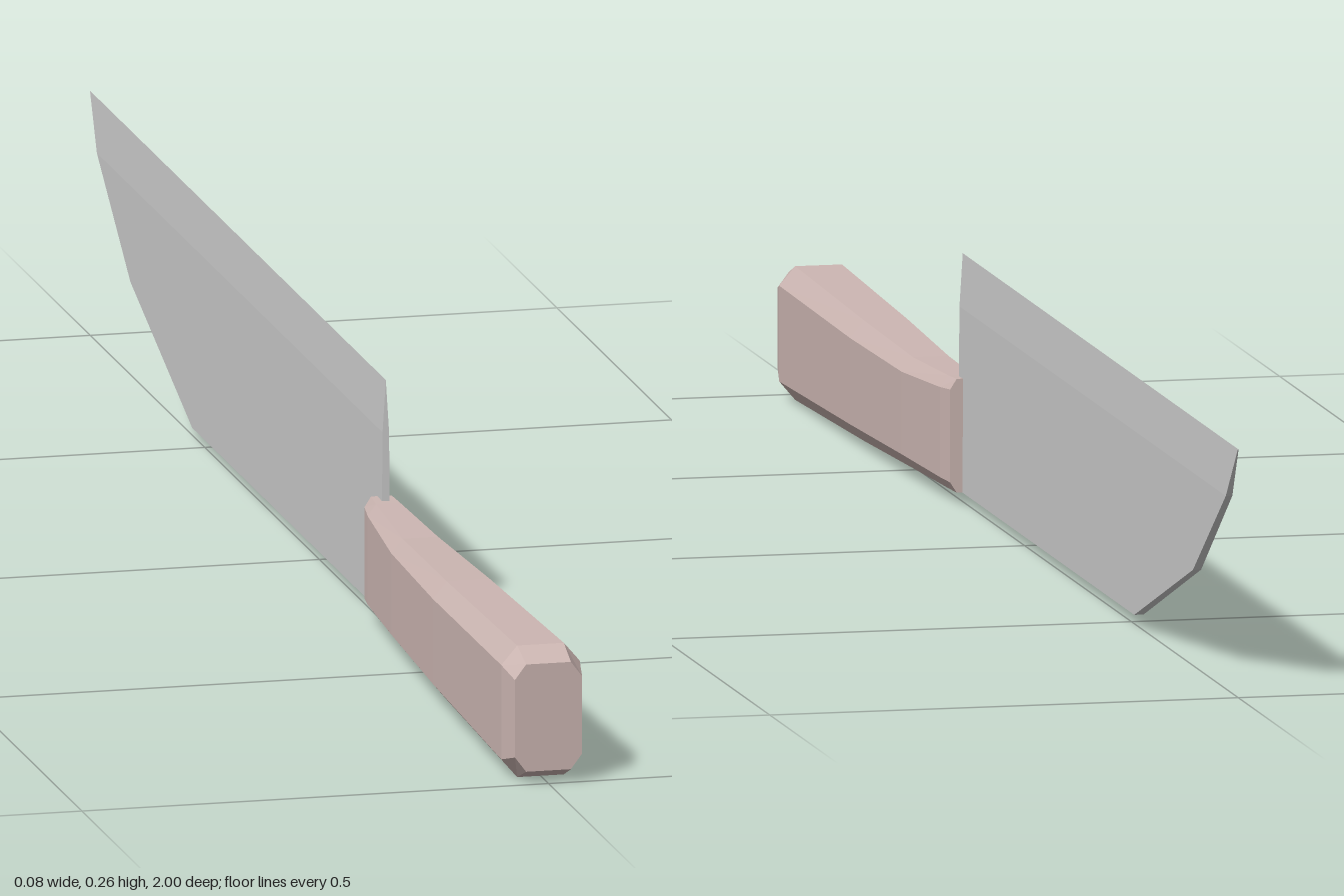
import * as THREE from 'three';

// Joins equal-length rings (front to back, each counter-clockwise seen from +z) into a closed faceted solid
function loft(rings) {
  const pos = [];
  const tri = (a, b, c) => pos.push(...a, ...b, ...c);
  const n = rings[0].length;
  for (let r = 0; r < rings.length - 1; r++) {
    const a = rings[r], b = rings[r + 1];
    for (let i = 0; i < n; i++) {
      const j = (i + 1) % n;
      tri(a[i], b[i], b[j]);
      tri(a[i], b[j], a[j]);
    }
  }
  const first = rings[0], last = rings[rings.length - 1];
  for (let i = 1; i < n - 1; i++) {
    tri(first[0], first[i], first[i + 1]);
    tri(last[0], last[i + 1], last[i]);
  }
  const geo = new THREE.BufferGeometry();
  geo.setAttribute('position', new THREE.Float32BufferAttribute(pos, 3));
  geo.computeVertexNormals();
  return geo;
}

// Chamfered rectangle: half width w, flat half width f, chamfer height c
function octagon(z, w, f, y0, y1, c) {
  return [
    [f, y0, z], [w, y0 + c, z], [w, y1 - c, z], [f, y1, z],
    [-f, y1, z], [-w, y1 - c, z], [-w, y0 + c, z], [-f, y0, z],
  ];
}

export function createModel() {
  const group = new THREE.Group();
  const handleMat = new THREE.MeshStandardMaterial({ color: 0xccb6b2, flatShading: true });
  const bladeMat = new THREE.MeshStandardMaterial({ color: 0xcccccc, flatShading: true, side: THREE.DoubleSide });

  // Handle: octagonal grip, chamfered at the butt, slimming toward the blade
  const handle = new THREE.Mesh(loft([
    octagon(1.0, 0.036, 0.024, 0.014, 0.129, 0.016),
    octagon(0.965, 0.042, 0.025, 0.0, 0.141, 0.02),
    octagon(0.65, 0.038, 0.023, 0.007, 0.134, 0.018),
    octagon(0.44, 0.031, 0.019, 0.012, 0.129, 0.015),
    octagon(0.3, 0.022, 0.013, 0.013, 0.132, 0.012),
    octagon(0.27, 0.018, 0.011, 0.013, 0.133, 0.011),
  ]), handleMat);
  handle.name = 'handle';
  group.add(handle);

  // Blade: flat thick lower edge, sides tapering to a fine straight upper edge
  const T = 0.005, M = 0.0035, yBevel = 0.206, yTop = 0.262;
  const section = (z, yLow, t, yMid, m, zTop = z) => [
    [t, yLow, z], [m, yMid, z], [0, yTop, zTop], [-m, yMid, z], [-t, yLow, z],
  ];
  const blade = new THREE.Mesh(loft([
    section(0.29, 0.013, T, yBevel, M),
    section(-0.535, 0.013, T, yBevel, M),
    section(-0.807, 0.104, 0.0044, yBevel, M),
    section(-0.957, yBevel, M, yBevel, M),
    section(-1.0, yTop, 0.0004, yTop, 0.0002),
  ]), bladeMat);
  blade.name = 'blade';
  group.add(blade);

  return group;
}
